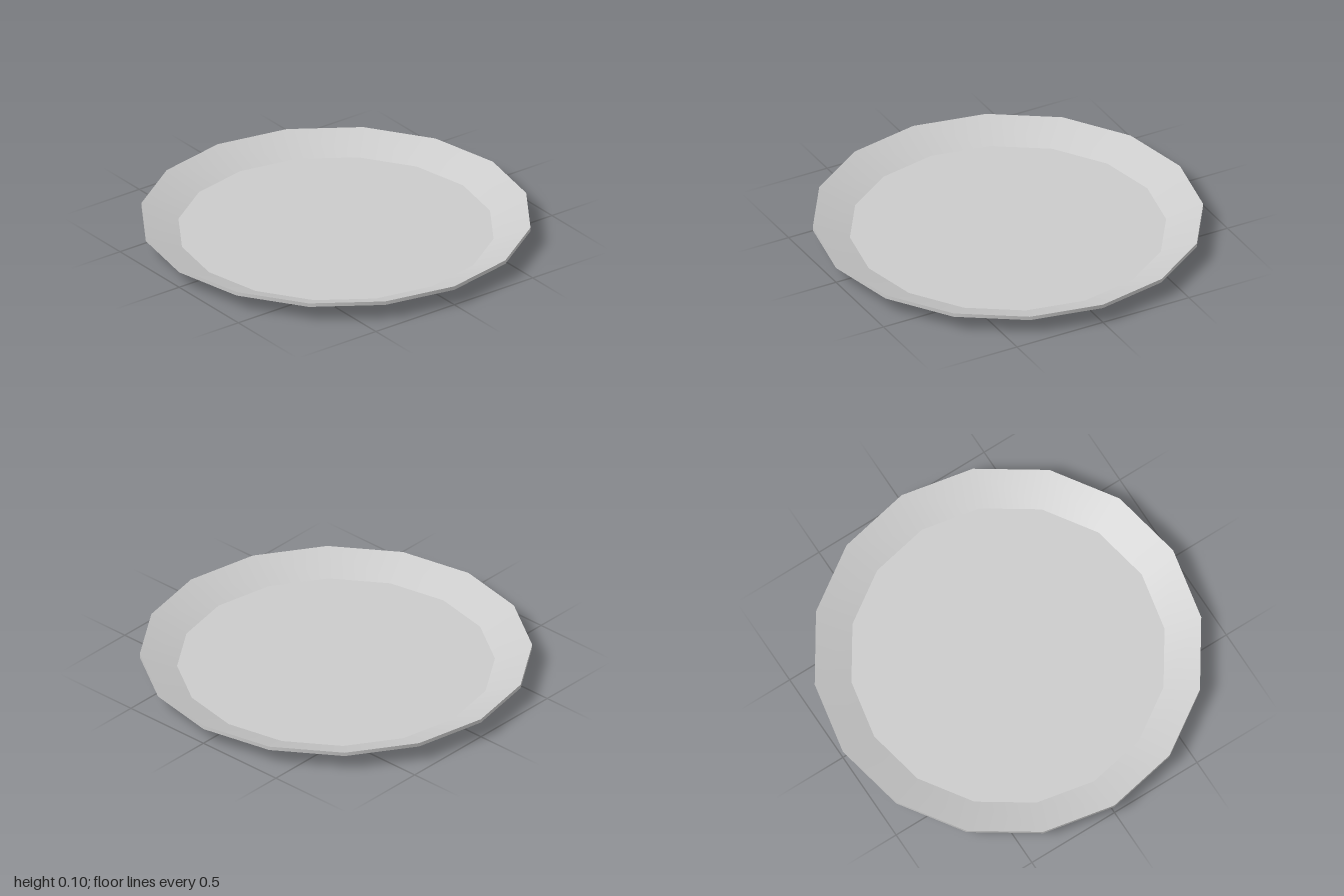
import * as THREE from 'three';

const SIDES = 16;

export function createModel() {
  const plate = new THREE.Group();
  plate.name = 'plate';
  const material = new THREE.MeshStandardMaterial({ color: 0xcccccc });

  // Each band is its own lathe, so it is smooth around but creased at its edges.
  function addBand(name, from, to) {
    const profile = [new THREE.Vector2(...from), new THREE.Vector2(...to)];
    const band = new THREE.Mesh(new THREE.LatheGeometry(profile, SIDES), material);
    band.name = name;
    plate.add(band);
  }

  // Cross-section as [radius, height], from the centre of the base to the centre of the floor
  const baseCentre = [0, 0];
  const baseEdge = [0.82, 0.008];
  const rimBottom = [1, 0.085];
  const rimTop = [1, 0.105];
  const floorEdge = [0.81, 0.028];
  const floorCentre = [0, 0.021];

  addBand('base', baseCentre, baseEdge);
  addBand('outerWall', baseEdge, rimBottom);
  addBand('rimEdge', rimBottom, rimTop);
  addBand('innerWall', rimTop, floorEdge);
  addBand('floor', floorEdge, floorCentre);

  return plate;
}
